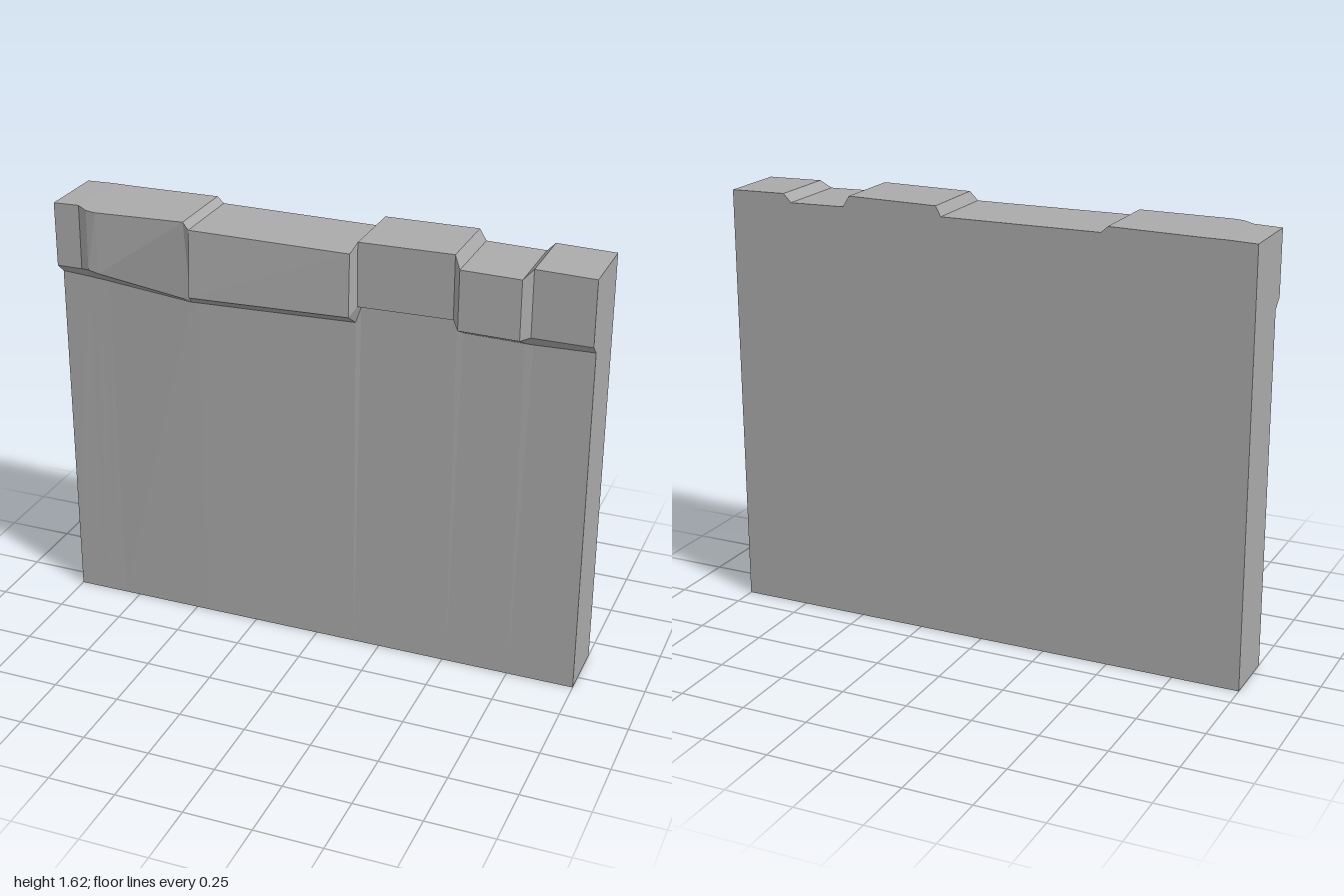
import * as THREE from 'three';

const BACK = -0.157;

// Cross-sections along the wall: x, wall top z, underside y, lip y, lip z, top edge y, top edge z
const stations = [
  [-1.0, 0.066, 1.325, 1.36, 0.105, 1.6, 0.105],
  [-0.9, 0.068, 1.32, 1.362, 0.108, 1.603, 0.105],
  [-0.85, 0.07, 1.317, 1.38, 0.15, 1.603, 0.143],
  [-0.81, 0.071, 1.314, 1.371, 0.15, 1.603, 0.152],
  [-0.475, 0.085, 1.288, 1.295, 0.09, 1.607, 0.134],
  [-0.45, 0.085, 1.289, 1.335, 0.157, 1.584, 0.143],
  [0.15, 0.078, 1.305, 1.35, 0.148, 1.58, 0.14],
  [0.17, 0.075, 1.365, 1.381, 0.115, 1.617, 0.115],
  [0.515, 0.072, 1.372, 1.385, 0.112, 1.62, 0.112],
  [0.54, 0.07, 1.325, 1.36, 0.14, 1.579, 0.138],
  [0.755, 0.068, 1.32, 1.355, 0.135, 1.574, 0.135],
  [0.785, 0.066, 1.319, 1.36, 0.105, 1.605, 0.105],
  [1.0, 0.066, 1.325, 1.36, 0.105, 1.6, 0.105],
];

// Closed outline of the wall at one station, starting at the back bottom
function outline([x, wallZ, underY, lipY, lipZ, topY, topZ]) {
  return [[0, BACK], [0, 0.07], [underY, wallZ], [lipY, lipZ], [topY, topZ], [topY, BACK]]
    .map(([y, z]) => [x, y, z]);
}

function meshFrom(name, triangles, material) {
  const geometry = new THREE.BufferGeometry();
  geometry.setAttribute('position', new THREE.Float32BufferAttribute(triangles.flat(2), 3));
  geometry.computeVertexNormals();
  const mesh = new THREE.Mesh(geometry, material);
  mesh.name = name;
  return mesh;
}

export function createModel() {
  const group = new THREE.Group();
  group.name = 'stoneWall';
  const stone = new THREE.MeshStandardMaterial({ color: 0xaaaaaa });
  stone.name = 'grey stone';

  const rings = stations.map(outline);
  const wall = [], coping = [], ends = [];

  // Skin between neighbouring sections: plain wall below, stepped coping stones above
  for (let i = 0; i < rings.length - 1; i++) {
    const a = rings[i], b = rings[i + 1];
    for (let j = 0; j < 6; j++) {
      const k = (j + 1) % 6;
      const part = j >= 2 && j <= 4 ? coping : wall;
      part.push([a[j], b[j], b[k]], [a[j], b[k], a[k]]);
    }
  }

  // End faces, fanned from the inner corner under the lip
  const left = rings[rings.length - 1], right = rings[0];
  for (const [p, q] of [[3, 4], [4, 5], [5, 0], [0, 1]]) {
    ends.push([right[2], right[p], right[q]], [left[2], left[q], left[p]]);
  }

  group.add(
    meshFrom('wallPanel', wall, stone),
    meshFrom('copingStones', coping, stone),
    meshFrom('wallEnds', ends, stone),
  );
  return group;
}
